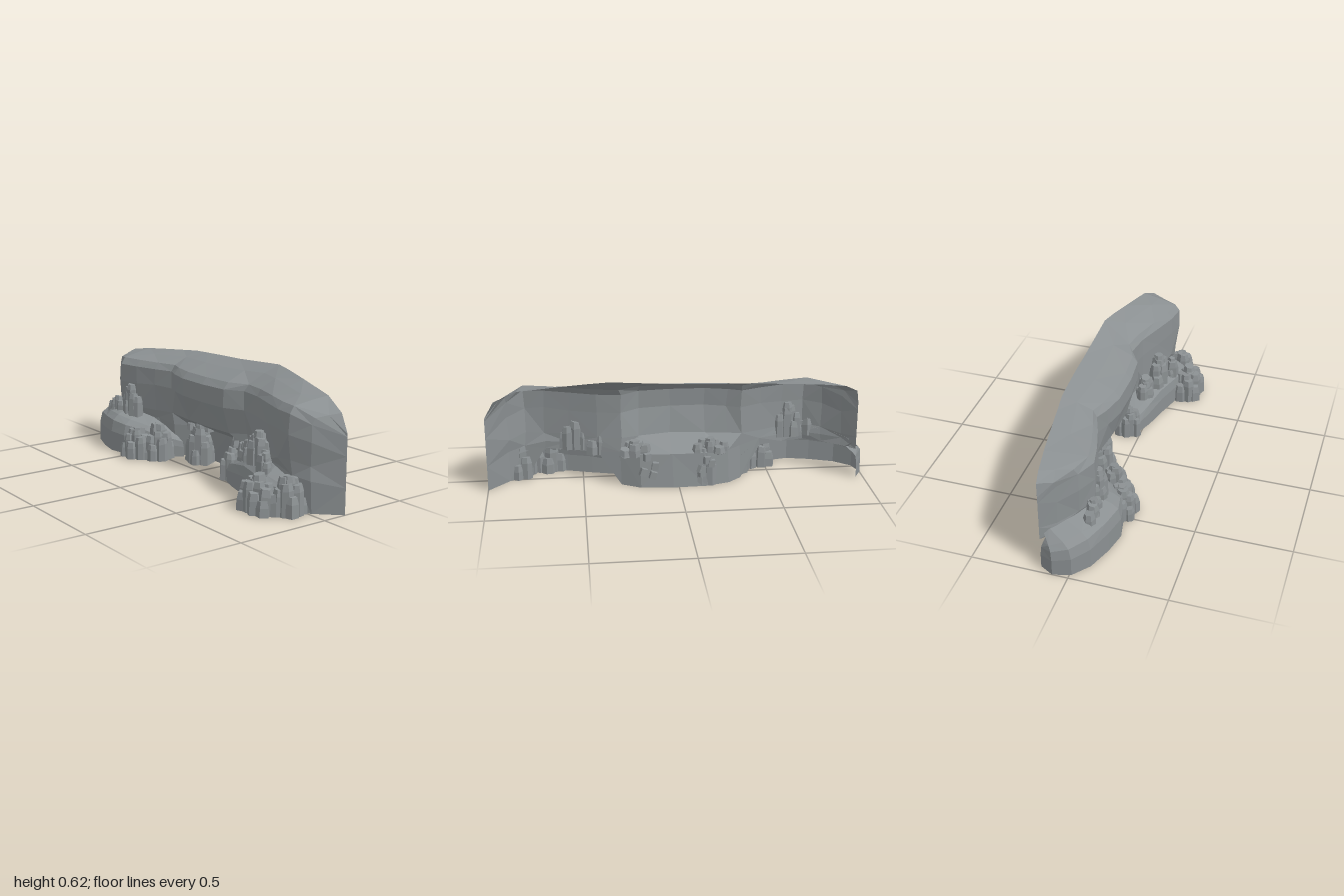
import * as THREE from 'three';

const stone = new THREE.MeshStandardMaterial({ color: 0x8b9092 });
stone.name = 'grey stone';
stone.flatShading = true;
stone.side = THREE.DoubleSide;

// small seeded random, 0..1
let seed = 7;
const rnd = () => (seed = (seed * 16807) % 2147483647) / 2147483647;
const { lerp, clamp } = THREE.MathUtils;

// skin a surface through columns of [x, y, z] points
function loft(name, columns) {
  const rows = columns[0].length;
  const index = [];
  for (let i = 0; i < columns.length - 1; i++) {
    for (let j = 0; j < rows - 1; j++) {
      const a = i * rows + j, b = a + rows;
      if ((i + j) % 2) index.push(a, b, a + 1, b, b + 1, a + 1);
      else index.push(a, b, b + 1, a, b + 1, a + 1);
    }
  }
  const geo = new THREE.BufferGeometry();
  geo.setAttribute('position', new THREE.Float32BufferAttribute(columns.flat(2), 3));
  geo.setIndex(index);
  geo.computeVertexNormals();
  const mesh = new THREE.Mesh(geo, stone);
  mesh.name = name;
  return mesh;
}

// cliff stations: face x, rim x, z at foot, low, under lip, middle, then rim y, rim z
const STATIONS = [
  [-0.95, -0.95, -0.155, -0.155, -0.155, -0.155, 0.43, -0.155],
  [-0.88, -0.94, -0.09, -0.09, -0.09, -0.085, 0.495, -0.16],
  [-0.79, -0.88, -0.02, -0.02, -0.015, -0.005, 0.525, -0.17],
  [-0.70, -0.75, 0.03, 0.03, 0.035, 0.045, 0.545, -0.19],
  [-0.58, -0.60, 0.0, 0.0, 0.01, 0.02, 0.56, -0.21],
  [-0.45, -0.46, -0.04, -0.04, -0.03, -0.02, 0.573, -0.228],
  [-0.34, -0.35, -0.09, -0.08, -0.07, -0.06, 0.583, -0.243],
  [-0.27, -0.25, -0.15, -0.13, -0.06, -0.03, 0.586, -0.247],
  [-0.15, -0.12, -0.185, -0.165, -0.04, 0.0, 0.59, -0.25],
  [0.03, 0.03, -0.19, -0.165, -0.03, 0.005, 0.594, -0.25],
  [0.20, 0.20, -0.175, -0.155, -0.05, -0.01, 0.605, -0.25],
  [0.30, 0.36, -0.12, -0.11, -0.09, -0.07, 0.615, -0.25],
  [0.42, 0.46, -0.06, -0.05, -0.05, -0.05, 0.604, -0.233],
  [0.57, 0.60, 0.0, 0.0, 0.0, 0.0, 0.585, -0.205],
  [0.70, 0.73, 0.03, 0.035, 0.04, 0.045, 0.565, -0.18],
  [0.80, 0.83, 0.04, 0.04, 0.05, 0.062, 0.55, -0.16],
  [0.89, 0.95, -0.015, -0.01, -0.005, 0.0, 0.49, -0.137],
  [1.0, 1.0, -0.13, -0.13, -0.13, -0.13, 0.40, -0.13],
];

// depth of the lower wall at a given x
function wallZ(x) {
  const i = clamp(STATIONS.findIndex((s) => s[0] >= x), 1, STATIONS.length - 1);
  const a = STATIONS[i - 1], b = STATIONS[i];
  return lerp(a[3], b[3], (x - a[0]) / (b[0] - a[0]));
}

function cliff() {
  return loft('cliffWall', STATIONS.map(([x, xr, z0, z1, z2, z3, ry, rz], i) => {
    const end = i === 0 || i === STATIONS.length - 1;
    const k = Math.min(1, ry / 0.54);
    const j = () => (end ? 0 : (rnd() - 0.5) * 0.014);
    // where a ledge stands in front, the wall starts on top of it
    const foot = x < -0.4 || (x > 0.4 && x < 0.75) ? 0.165 : 0;
    const low = foot ? 0.205 : 0.18 * k;
    return [
      [x, foot, z0],
      [x + j(), low, z1 + j()],
      [x + j(), Math.max(low + 0.03, 0.25 * k) + j(), z2 + j()],
      [x + j(), 0.39 * k + j(), z3],
      [x + j(), 0.485 * k, end ? z3 : z3 - 0.003],
      [lerp(x, xr, 0.13), 0.52 * k, lerp(z3, rz, 0.13)],
      [lerp(x, xr, 0.55), lerp(0.52 * k, ry, 0.58), lerp(z3, rz, 0.58)],
      [xr, ry, rz],
    ];
  }));
}

// rounded ledge from front-edge points [x, z, height], its top running back to the wall
function ledge(name, points, cx) {
  return loft(name, points.map(([x, z, h]) => {
    const bx = Math.max(-0.95, lerp(x, cx, 0.2));
    const bz = Math.min(wallZ(bx), z + 0.02);
    const at = (t, y) => [lerp(x, bx, t), y, lerp(z, bz, t)];
    return [at(0, 0), at(0, h * 0.55), at(0.1, h * 0.86), at(0.35, h), at(1, h + 0.035)];
  }));
}

// one chunky faceted pillar with a chipped top
function pillar(r, h) {
  const profile = [[r, 0], [r * 0.94, h - r * 0.9], [r * 0.7, h], [0, h]]
    .map(([a, b]) => new THREE.Vector2(a, b));
  const geo = new THREE.LatheGeometry(profile, 5 + Math.floor(rnd() * 3));
  const slope = (rnd() - 0.5) * 0.5;
  const p = geo.attributes.position;
  for (let i = 0; i < p.count; i++) {
    if (p.getY(i) > 0) p.setY(i, p.getY(i) + p.getX(i) * slope);
  }
  const mesh = new THREE.Mesh(geo, stone);
  mesh.name = 'rockPillar';
  mesh.rotation.y = rnd() * 6.28;
  return mesh;
}

// clump of pillars in an ellipse, stepping down outwards
function clump(name, cx, cz, rx, rz, base, height, count, r) {
  const group = new THREE.Group();
  group.name = name;
  for (let i = 0; i < count; i++) {
    const d = Math.sqrt(i / (count - 1)), a = i * 2.4;
    const size = r * (0.8 + rnd() * 0.35);
    const h = height * (1 - 0.55 * d ** 3) * (0.85 + rnd() * 0.17);
    const m = pillar(size, i ? h : height);
    m.position.set(cx + Math.cos(a) * d * (rx - r), base, cz + Math.sin(a) * d * (rz - r));
    group.add(m);
  }
  return group;
}

export function createModel() {
  const model = new THREE.Group();
  model.name = 'rockCliff';
  model.add(cliff());

  model.add(ledge('leftwardLedge', [
    [-0.96, -0.15, 0.14], [-1.0, -0.08, 0.16], [-0.975, 0.01, 0.18], [-0.89, 0.08, 0.195],
    [-0.76, 0.128, 0.205], [-0.64, 0.155, 0.205], [-0.54, 0.135, 0.19], [-0.43, 0.06, 0.165],
    [-0.34, -0.02, 0.13], [-0.28, -0.1, 0.1],
  ], -0.66));
  model.add(ledge('rightwardLedge', [
    [0.2, -0.1, 0.09], [0.23, -0.01, 0.11], [0.32, 0.025, 0.14], [0.45, 0.06, 0.17],
    [0.58, 0.1, 0.17], [0.7, 0.13, 0.16], [0.8, 0.11, 0.14], [0.87, 0.03, 0.12],
  ], 0.55));

  // name, centre x, centre z, radius x, radius z, base y, height, pillars, pillar radius
  [
    ['frontRocksA', -0.45, 0.1, 0.12, 0.1, 0, 0.165, 15, 0.036],
    ['frontRocksB', -0.34, 0.025, 0.095, 0.095, 0, 0.2, 12, 0.035],
    ['alcoveRocksA', -0.14, -0.115, 0.105, 0.085, 0, 0.21, 12, 0.034],
    ['alcoveRocksB', 0.21, -0.065, 0.08, 0.085, 0, 0.17, 9, 0.032],
    ['frontRocksC', 0.7, 0.155, 0.145, 0.1, 0, 0.185, 17, 0.038],
    ['frontRocksD', 0.825, 0.075, 0.09, 0.1, 0, 0.19, 11, 0.036],
    ['ledgeRocksA', -0.61, 0.03, 0.1, 0.05, 0.19, 0.19, 8, 0.036],
    ['ledgeRocksB', -0.73, 0.045, 0.11, 0.045, 0.19, 0.1, 7, 0.034],
    ['ledgeRocksC', 0.53, 0.015, 0.11, 0.065, 0.17, 0.17, 10, 0.037],
    ['ledgeRocksD', 0.4, -0.025, 0.1, 0.055, 0.15, 0.11, 8, 0.034],
    ['ledgeRocksE', 0.64, 0.065, 0.07, 0.045, 0.15, 0.11, 5, 0.032],
    ['lipRocksA', -0.17, -0.125, 0.13, 0.07, 0.18, 0.07, 8, 0.033],
    ['lipRocksB', 0.23, -0.125, 0.1, 0.07, 0.17, 0.08, 7, 0.033],
  ].forEach((c) => model.add(clump(...c)));

  // loose chips sticking out of the back of the alcove
  for (let i = 0; i < 8; i++) {
    const chip = new THREE.Mesh(new THREE.BoxGeometry(0.035, 0.04, 0.025), stone);
    chip.name = 'backChip';
    chip.position.set((i % 2 ? -0.14 : 0.18) + (rnd() - 0.5) * 0.14, 0.07 + rnd() * 0.13, -0.18);
    chip.rotation.set(0, rnd() * 0.6, rnd() * 0.5);
    model.add(chip);
  }
  return model;
}
